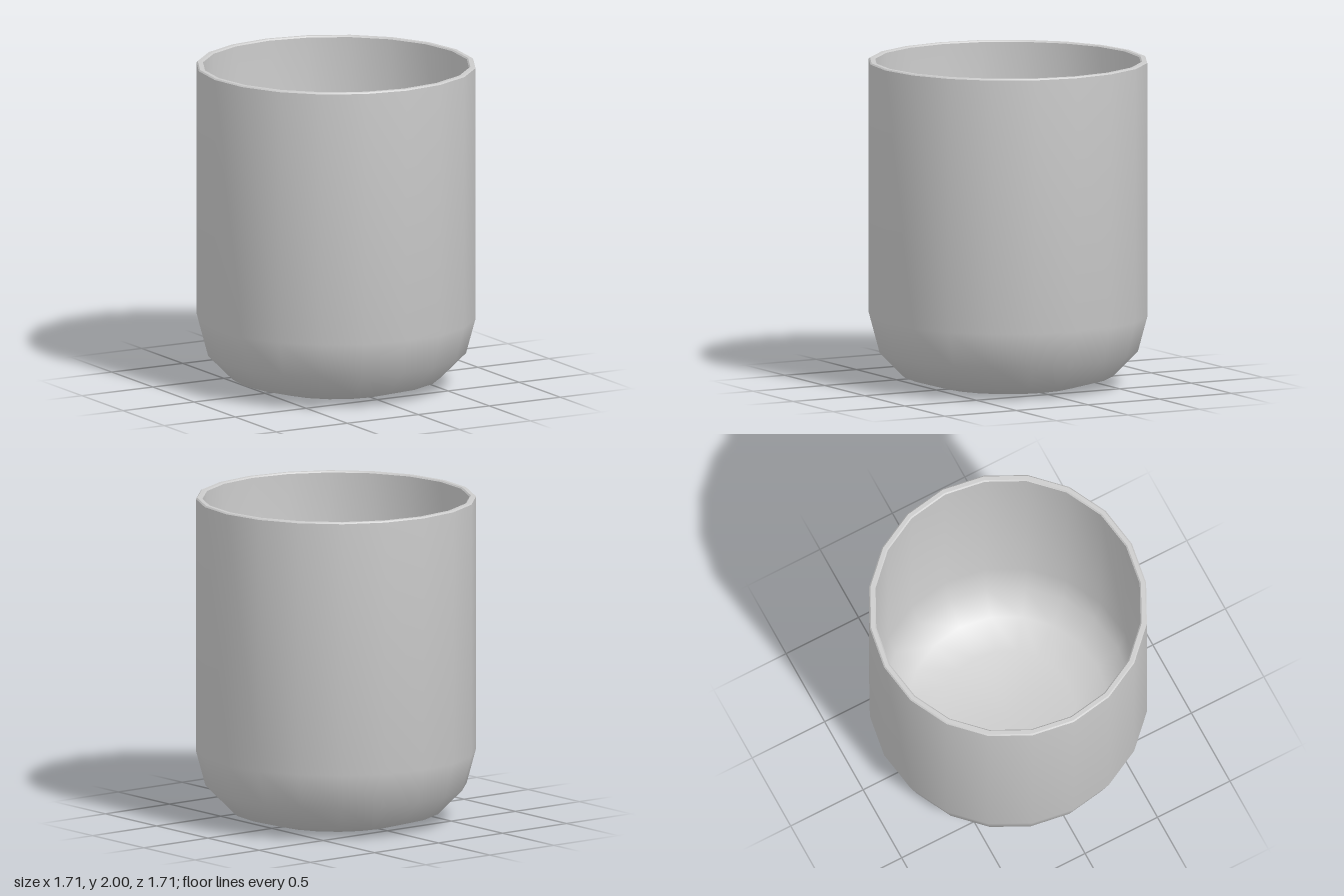
import * as THREE from 'three';
import { toCreasedNormals } from 'three/addons/utils/BufferGeometryUtils.js';

const SIDES = 20;

export function createModel() {
  const group = new THREE.Group();
  group.name = 'cup';
  const material = new THREE.MeshStandardMaterial({ color: 0xcccccc });

  // Closed wall section: up the outside, over the bevelled rim, down the inside
  const profile = [
    // outside, with rounded base
    [0, 0], [0.425, 0], [0.643, 0.06], [0.797, 0.215], [0.855, 0.43], [0.855, 1.992],
    // rim
    [0.847, 2], [0.823, 2], [0.815, 1.992],
    // inside, following the base at wall thickness
    [0.815, 0.43], [0.762, 0.238], [0.622, 0.096], [0.42, 0.04], [0, 0.04],
  ].map(([r, y]) => new THREE.Vector2(r, y));

  // Smooth round body, sharp rim
  const geometry = toCreasedNormals(new THREE.LatheGeometry(profile, SIDES), 0.6);
  const body = new THREE.Mesh(geometry, material);
  body.name = 'cupBody';
  group.add(body);
  return group;
}
